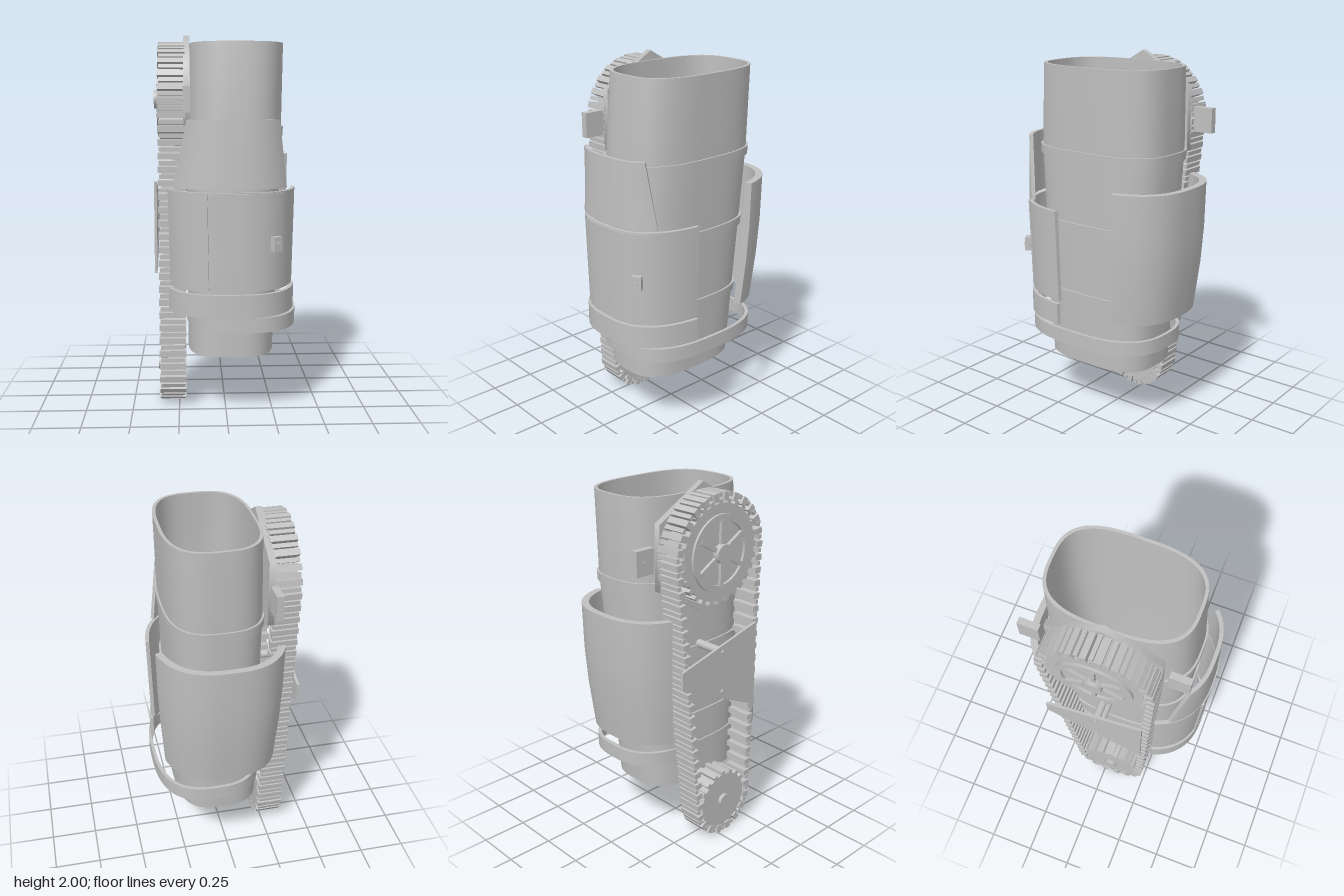
import * as THREE from 'three';
import { mergeGeometries, toCreasedNormals } from 'three/addons/utils/BufferGeometryUtils.js';

const N = 2.7; // roundness exponent of the armour curves
const SLEEVE_N = 3; // the sleeve is a little squarer
const PI = Math.PI;
const sgnPow = (v, p) => Math.sign(v) * Math.abs(v) ** p;
const angleFromX = (f) => Math.acos(sgnPow(f, N / 2));
const angleFromZ = (f) => Math.asin(sgnPow(f, N / 2));
const row = (y, cx, cz, a, b, t0, t1) => ({ y, cx, cz, a, b, t0, t1 });

// Thick wall lofted through rows, listed bottom to top; a full ring unless t0 and t1 are given
function shell(rows, thickness, segs = 40, exponent = N) {
  const pos = [];
  const point = (r, i, inset) => {
    const t0 = r.t0 ?? 0, t1 = r.t1 ?? PI * 2;
    const t = t0 + (t1 - t0) * i / segs;
    return [r.cx + (r.a - inset) * sgnPow(Math.cos(t), 2 / exponent), r.y,
      r.cz + (r.b - inset) * sgnPow(Math.sin(t), 2 / exponent)];
  };
  const section = (i) => [...rows.map((r) => point(r, i, 0)),
    ...[...rows].reverse().map((r) => point(r, i, thickness))];
  const quad = (a, b, c, d) => pos.push(...a, ...b, ...c, ...a, ...c, ...d);
  const sections = Array.from({ length: segs + 1 }, (_, i) => section(i));
  const n = rows.length * 2;
  for (let i = 0; i < segs; i++) {
    for (let k = 0; k < n; k++) {
      const m = (k + 1) % n;
      quad(sections[i][k], sections[i][m], sections[i + 1][m], sections[i + 1][k]);
    }
  }
  // end faces of partial shells
  if (rows[0].t0 !== undefined) {
    const s = sections[0], e = sections[segs];
    for (let k = 0; k < rows.length - 1; k++) {
      quad(s[n - 1 - k], s[n - 2 - k], s[k + 1], s[k]);
      quad(e[k], e[k + 1], e[n - 2 - k], e[n - 1 - k]);
    }
  }
  const g = new THREE.BufferGeometry();
  g.setAttribute('position', new THREE.Float32BufferAttribute(pos, 3));
  return toCreasedNormals(g, 0.5);
}

// Disc or rod lying along x
const axle = (r, x0, x1, segs = 32) =>
  new THREE.CylinderGeometry(r, r, Math.abs(x1 - x0), segs).rotateZ(PI / 2).translate((x0 + x1) / 2, 0, 0);

// Wheel disc with square teeth around its rim
function gear(r, teeth, x0, x1) {
  const parts = [axle(r, x0, x1, 48)];
  for (let i = 0; i < teeth; i++) {
    parts.push(new THREE.BoxGeometry(x0 - x1, 0.03, 0.028).translate((x0 + x1) / 2, r + 0.004, 0)
      .rotateX(i / teeth * PI * 2));
  }
  return mergeGeometries(parts);
}

export function createModel() {
  const model = new THREE.Group();
  const grey = new THREE.MeshStandardMaterial({ color: 0xc0c0c0 });
  grey.name = 'plainGrey';

  const add = (name, geometry, x = 0, y = 0, z = 0, parent = model) => {
    const mesh = new THREE.Mesh(geometry, grey);
    mesh.name = name;
    mesh.position.set(x, y, z);
    parent.add(mesh);
    return mesh;
  };

  // Open tapered sleeve
  const sleeve = [row(0.32, 0.03, 0.0325, 0.23, 0.3275), row(1.0, 0.043, 0.015, 0.243, 0.36),
    row(1.5, 0.05, 0, 0.25, 0.388), row(1.95, 0.06, -0.018, 0.25, 0.374)];
  add('sleeve', shell(sleeve, 0.016, 72, SLEEVE_N));

  // Raised bands around the sleeve
  const sleeveAt = (y, grow) => {
    const k = Math.max(0, sleeve.findLastIndex((r) => r.y <= y));
    const p = sleeve[k], q = sleeve[k + 1], f = (y - p.y) / (q.y - p.y);
    const mix = (key) => p[key] + (q[key] - p[key]) * f;
    return row(y, mix('cx'), mix('cz'), mix('a') + grow, mix('b') + grow);
  };
  for (const [y0, y1] of [[0.69, 0.735], [1.08, 1.13], [1.472, 1.52]]) {
    add('sleeveBand', shell([sleeveAt(y0, 0.01), sleeveAt(y1, 0.01)], 0.014, 72, SLEEVE_N));
  }

  // Loose hoop near the lower end
  add('lowerHoop', shell([row(0.472, 0.087, 0.022, 0.295, 0.418), row(0.55, 0.087, 0.022, 0.295, 0.418)], 0.018, 72));

  // Front armour: lower strip, middle plate, upper trapezoid
  const right = angleFromZ(0.28), left = PI - angleFromZ(0.58);
  add('lowerFrontStrip', shell([row(0.56, 0.02, 0, 0.354, 0.485, right, left),
    row(0.68, 0.02, 0, 0.354, 0.485, right, left)], 0.02));
  add('middleFrontPlate', shell([row(0.695, 0.02, 0, 0.344, 0.477, right, left),
    row(1.2, 0.02, 0, 0.356, 0.488, right, left)], 0.02));
  add('upperFrontPlate', shell([
    row(1.215, 0.02, 0, 0.355, 0.488, angleFromX(0.81), angleFromX(-0.82)),
    row(1.56, 0.02, 0, 0.355, 0.476, angleFromX(0.69), angleFromX(-0.63))], 0.02));

  // Door on the middle plate, with hinge strip and latch
  const doorRow = (y, a, b, x0, x1) =>
    row(y, 0.02, 0, a, b, angleFromX((x0 - 0.02) / a), angleFromX((x1 - 0.02) / a));
  add('door', shell([doorRow(0.705, 0.349, 0.483, 0.272, -0.1), doorRow(1.195, 0.361, 0.494, 0.285, -0.11)], 0.012));
  add('hingeStrip', shell([doorRow(0.705, 0.355, 0.489, -0.095, -0.11),
    doorRow(1.195, 0.367, 0.5, -0.103, -0.118)], 0.024, 4));
  const latch = new THREE.Group();
  latch.name = 'latch';
  latch.position.set(0.243, 0.937, 0.44);
  latch.rotation.y = 0.6;
  model.add(latch);
  add('latchBlock', new THREE.BoxGeometry(0.05, 0.075, 0.05), 0, 0, 0, latch);
  add('latchPin', new THREE.CylinderGeometry(0.01, 0.01, 0.008, 12).rotateX(PI / 2), 0, 0, 0.028, latch);

  // Thick curved back plate
  const backRow = (y, a, b) => row(y, 0.032, 0, a, b, PI + angleFromZ(0.6), 2 * PI - angleFromZ(0.48));
  add('backPlate', shell([backRow(0.645, 0.325, 0.442), backRow(0.9, 0.345, 0.475),
    backRow(1.1, 0.355, 0.49), backRow(1.35, 0.36, 0.495)], 0.036));

  // Hexagonal mount and its side brackets
  const top = { z: -0.022, y: 1.66 }, low = { z: 0.04, y: 0.205 };
  add('hexMount', new THREE.CylinderGeometry(0.34, 0.34, 0.035, 6).toNonIndexed().rotateY(PI / 6).rotateZ(PI / 2),
    -0.203, top.y, top.z);
  for (const z of [-0.41, 0.36]) {
    add('mountBracket', new THREE.BoxGeometry(0.036, 0.13, 0.11), -0.203, 1.662, z);
    add('bracketBolt', axle(0.012, -0.219, -0.224, 12), 0, 1.662, z);
  }

  // Upper wheel: gear, raised ring, spokes and hub
  const wheel = new THREE.Group();
  wheel.name = 'upperWheel';
  wheel.position.set(0, top.y, top.z);
  model.add(wheel);
  add('upperGear', gear(0.25, 28, -0.215, -0.345), 0, 0, 0, wheel);
  const ring = new THREE.Shape().absarc(0, 0, 0.2, 0, PI * 2);
  ring.holes.push(new THREE.Path().absarc(0, 0, 0.165, 0, PI * 2, true));
  add('wheelRing', new THREE.ExtrudeGeometry(ring, { depth: 0.016, bevelEnabled: false, curveSegments: 32 })
    .rotateY(-PI / 2), -0.343, 0, 0, wheel);
  for (let i = 0; i < 3; i++) {
    add('spokes', new THREE.BoxGeometry(0.02, 0.34, 0.022), -0.352, 0, 0, wheel).rotation.x = i * PI / 3;
  }
  add('wheelHub', axle(0.05, -0.343, -0.38, 24), 0, 0, 0, wheel);

  // Lower wheel
  add('lowerGear', gear(0.16, 18, -0.215, -0.345), 0, low.y, low.z);
  add('lowerHub', axle(0.038, -0.34, -0.365, 20), 0, low.y, low.z);

  // Track: alternating pads and links around both wheels, path in the z-y plane
  const r1 = 0.284, r2 = 0.182;
  const phi = Math.atan2(low.y - top.y, low.z - top.z);
  const beta = Math.acos((r1 - r2) / Math.hypot(low.y - top.y, low.z - top.z));
  const path = new THREE.Path();
  path.absarc(top.z, top.y, r1, phi + beta, phi - beta + 2 * PI, false);
  path.absarc(low.z, low.y, r2, phi - beta, phi + beta, false);
  path.closePath();
  const pads = [], count = 124;
  for (let i = 0; i < count; i++) {
    const p = path.getPointAt(i / count), t = path.getTangentAt(i / count);
    const g = i % 2 ? new THREE.BoxGeometry(0.13, 0.02, 0.022).translate(0, -0.01, 0)
      : new THREE.BoxGeometry(0.142, 0.042, 0.032);
    pads.push(g.rotateX(Math.atan2(-t.y, t.x)).translate(-0.283, p.y, p.x));
  }
  add('track', mergeGeometries(pads));

  // Side guard held by two rods
  const guard = new THREE.Shape([[-0.305, 1.0], [0.235, 0.75], [0.235, 1.235], [-0.305, 1.1]]
    .map(([z, y]) => new THREE.Vector2(z, y)));
  add('sideGuard', new THREE.ExtrudeGeometry(guard, { depth: 0.014, bevelEnabled: false }).rotateY(-PI / 2), -0.361);
  for (const y of [0.91, 1.135]) {
    add('guardRod', axle(0.022, -0.19, -0.365, 16), 0, y, -0.02);
    add('guardBolt', axle(0.01, -0.37, -0.384, 12), 0, y, -0.02);
  }
  return model;
}
